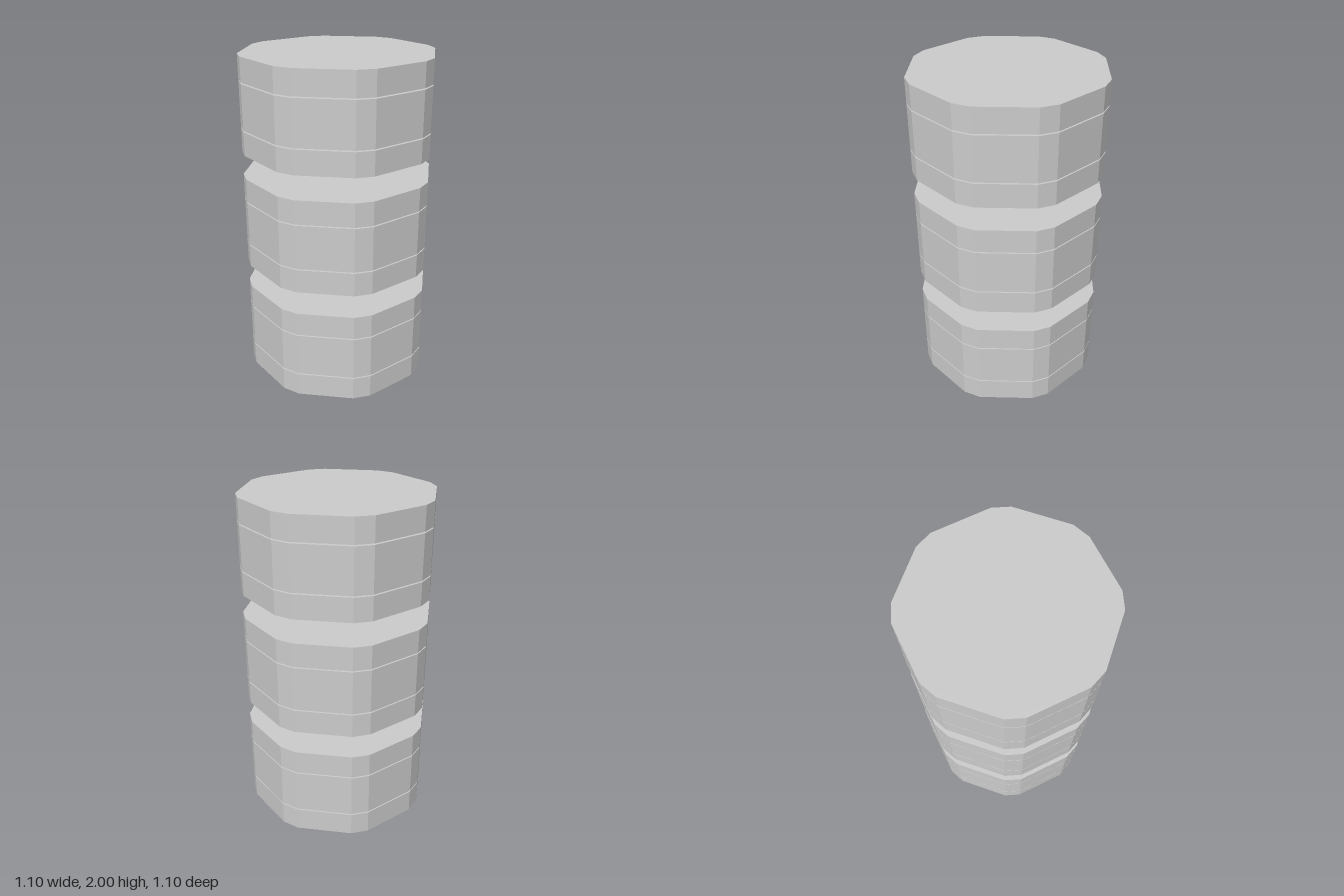
import * as THREE from 'three';

const material = new THREE.MeshStandardMaterial({ color: 0xcccccc, flatShading: true });

// Sixteen-sided plan: one quadrant's corners, turned four times
function planShape() {
  const quadrant = [[0.549, 0.17], [0.508, 0.27], [0.27, 0.508], [0.17, 0.549]];
  const points = [];
  for (let i = 0; i < 4; i++) {
    const turn = i * Math.PI / 2;
    for (const [x, y] of quadrant) {
      points.push(new THREE.Vector2(x, y).rotateAround(new THREE.Vector2(), turn));
    }
  }
  return new THREE.Shape(points);
}

// Solid slab with its underside at height y
function slab(name, y, height) {
  const geometry = new THREE.ExtrudeGeometry(planShape(), { depth: height, bevelEnabled: false });
  geometry.rotateX(-Math.PI / 2);
  const mesh = new THREE.Mesh(geometry, material);
  mesh.name = name;
  mesh.position.y = y;
  return mesh;
}

export function createModel() {
  const model = new THREE.Group();
  model.name = 'slabStack';

  const plate = 0.144, core = 0.268, slit = 0.0075;
  const unitHeight = 2 * plate + core + 2 * slit;
  const pitch = (2 - unitHeight) / 2;

  // Three separate units, each a thick core between two thin plates
  ['lowerUnit', 'middleUnit', 'upperUnit'].forEach((name, i) => {
    const unit = new THREE.Group();
    unit.name = name;
    unit.position.y = i * pitch;
    unit.add(
      slab('bottomPlate', 0, plate),
      slab('core', plate + slit, core),
      slab('topPlate', unitHeight - plate, plate)
    );
    model.add(unit);
  });
  return model;
}
